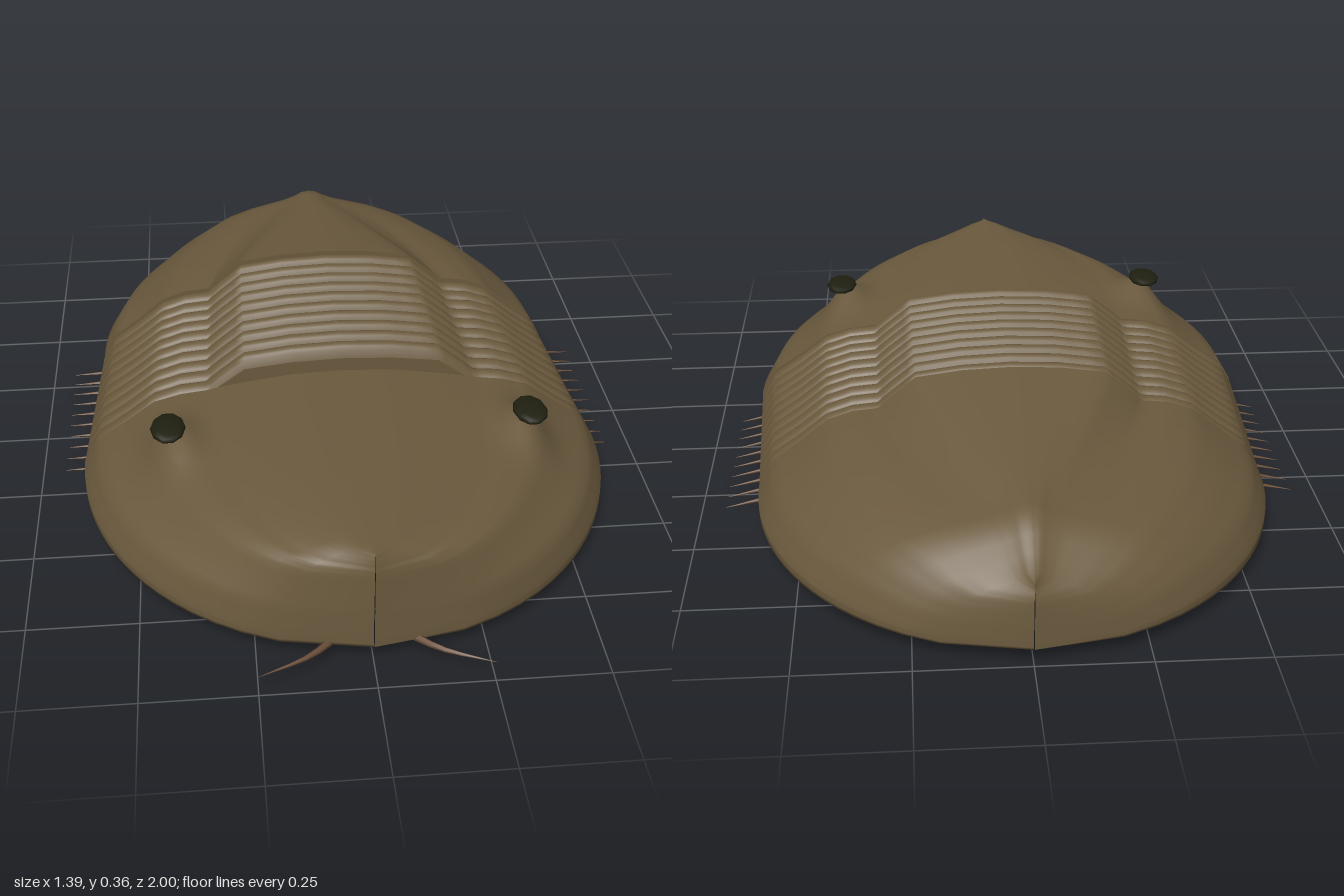
import * as THREE from 'three';

const FLOOR = 0.045;
const lerp = THREE.MathUtils.lerp;

// Half cross-sections from the midline out to the rim: [fraction of half width, height]
const headProfile = refine([[0, .295], [.19, .29], [.37, .274], [.46, .264], [.52, .256], [.62, .248], [.72, .23], [.83, .178], [.94, .132], [1, .067], [1, FLOOR]]);
const ringProfile = refine([[0, .36], [.19, .355], [.37, .34], [.46, .295], [.52, .262], [.62, .256], [.72, .235], [.83, .18], [.94, .13], [1, .065], [1, FLOOR]]);
const tailProfile = refine([[0, .36], [.06, .355], [.12, .34], [.2, .325], [.32, .31], [.48, .29], [.65, .26], [.8, .21], [.92, .15], [1, .075], [1, FLOOR]]);

function refine(points) {
  const out = [];
  for (let i = 0; i < points.length - 1; i++)
    for (let k = 0; k < 3; k++)
      out.push([0, 1].map(c => lerp(points[i][c], points[i + 1][c], k / 3)));
  out.push(points[points.length - 1]);
  return out;
}

// Mirrors a half section into a full loop, right rim over the top to left rim
function fullSection(half, width, z, heightAt) {
  const right = half.map(([u, y]) => [u * width, heightAt(u * width, y), z]).reverse();
  const left = right.slice(0, -1).reverse().map(([x, y, zz]) => [-x, y, zz]);
  return [...right, ...left];
}

// Skins closed sections that run from front to back
function loft(sections, capFront, capBack) {
  const n = sections[0].length, pos = sections.flat(2), index = [];
  for (let i = 0; i < sections.length - 1; i++)
    for (let j = 0; j < n; j++) {
      const k = (j + 1) % n, a = i * n + j, b = i * n + k;
      index.push(a, a + n, b + n, a, b + n, b);
    }
  const cap = (section, front) => {
    const base = pos.length / 3;
    pos.push(...section.flat(), 0, FLOOR, section[0][2]);
    for (let j = 0; j < n - 1; j++)
      index.push(base + n, base + (front ? j : j + 1), base + (front ? j + 1 : j));
  };
  if (capFront) cap(sections[0], true);
  if (capBack) cap(sections[sections.length - 1], false);
  const geo = new THREE.BufferGeometry();
  geo.setAttribute('position', new THREE.Float32BufferAttribute(pos, 3));
  geo.setIndex(index);
  geo.computeVertexNormals();
  return geo;
}

// Pointed limb tapering along a curve
function taperedLimb(points, radius) {
  const curve = new THREE.CatmullRomCurve3(points.map(p => new THREE.Vector3(...p)));
  const steps = 6, sides = 6;
  const geo = new THREE.TubeGeometry(curve, steps, radius, sides);
  const p = geo.attributes.position, v = new THREE.Vector3();
  for (let i = 0; i < p.count; i++) {
    const t = Math.floor(i / (sides + 1)) / steps;
    const centre = curve.getPointAt(t);
    v.fromBufferAttribute(p, i).sub(centre).multiplyScalar(1 - 0.97 * t).add(centre);
    p.setXYZ(i, v.x, v.y, v.z);
  }
  geo.computeVertexNormals();
  return geo;
}

export function createModel() {
  const model = new THREE.Group();
  const shell = new THREE.MeshStandardMaterial({ name: 'shellBrown', color: 0x6b5a3e });
  const limb = new THREE.MeshStandardMaterial({ name: 'limbBrown', color: 0x6b4f3a, side: THREE.DoubleSide });
  const eyeDark = new THREE.MeshStandardMaterial({ name: 'eyeDark', color: 0x1f2010 });
  const add = (name, geo, mat) => {
    const mesh = new THREE.Mesh(geo, mat);
    mesh.name = name;
    model.add(mesh);
    return mesh;
  };

  // Head shield: constant height, elliptical outline, low mounds under the eyes
  const head = [], STEPS = 20;
  for (let i = STEPS; i >= 0; i--) {
    const t = i / STEPS, z = 0.2 + 0.72 * t;
    const width = Math.max(0.001, 0.64 * Math.sqrt(1 - t * t));
    head.push(fullSection(headProfile, width, z, (x, y) => y <= 0.07 ? y
      : y + 0.042 * Math.exp(-(((x - 0.41) / 0.055) ** 2) - ((z - 0.41) / 0.09) ** 2)));
  }
  add('headShield', loft(head, false, true), shell);

  // Body: ten arched rings
  const rings = 10, sub = 8, zFront = 0.2, zBack = -0.31;
  const body = [];
  for (let i = 0; i <= rings * sub; i++) {
    const t = i / (rings * sub), phase = (i % sub) / sub;
    const arch = 0.9 + 0.1 * Math.sqrt(Math.sin(Math.PI * phase));
    body.push(fullSection(ringProfile, lerp(0.64, 0.61, t), lerp(zFront, zBack, t),
      (x, y) => FLOOR + (y - FLOOR) * arch));
  }
  add('bodyRings', loft(body, true, true), shell);

  // Tail shield: the raised middle narrows and sinks toward the rear
  const tail = [];
  for (let i = 0; i <= STEPS; i++) {
    const t = i / STEPS;
    const top = t < 0.8 ? lerp(0.36, 0.285, t / 0.8)
      : t < 0.95 ? lerp(0.285, 0.21, (t - 0.8) / 0.15) : lerp(0.21, 0.205, (t - 0.95) / 0.05);
    const blend = Math.min(1, t * 1.4);
    const half = ringProfile.map((p, k) => [0, 1].map(c => lerp(p[c], tailProfile[k][c], blend)));
    tail.push(fullSection(half, Math.max(0.001, 0.61 * Math.sqrt(1 - t * t)), zBack - 0.69 * t,
      (x, y) => FLOOR + (y - FLOOR) * (top - FLOOR) / (0.36 - FLOOR)));
  }
  add('tailShield', loft(tail, true, false), shell);

  for (const s of [1, -1]) {
    const side = s > 0 ? 'left' : 'right';
    // Eyes
    const eye = add(side + 'Eye', new THREE.SphereGeometry(1, 10, 8), eyeDark);
    eye.scale.set(0.041, 0.014, 0.061);
    eye.position.set(s * 0.423, 0.29, 0.41);
    // Feelers
    add(side + 'Feeler', taperedLimb([[s * 0.07, 0.042, 0.87], [s * 0.14, 0.048, 0.94], [s * 0.25, 0.05, 0.995]], 0.011), limb);
    // Pointed legs under each ring
    for (let r = 0; r < rings; r++) {
      const z = zFront - 0.051 * (r + 0.35);
      add(side + 'Leg' + (r + 1), taperedLimb([[s * 0.37, 0.036, z], [s * 0.54, 0.024, z - 0.012], [s * 0.695, 0.004, z - 0.035]], 0.018), limb);
    }
  }
  return model;
}
